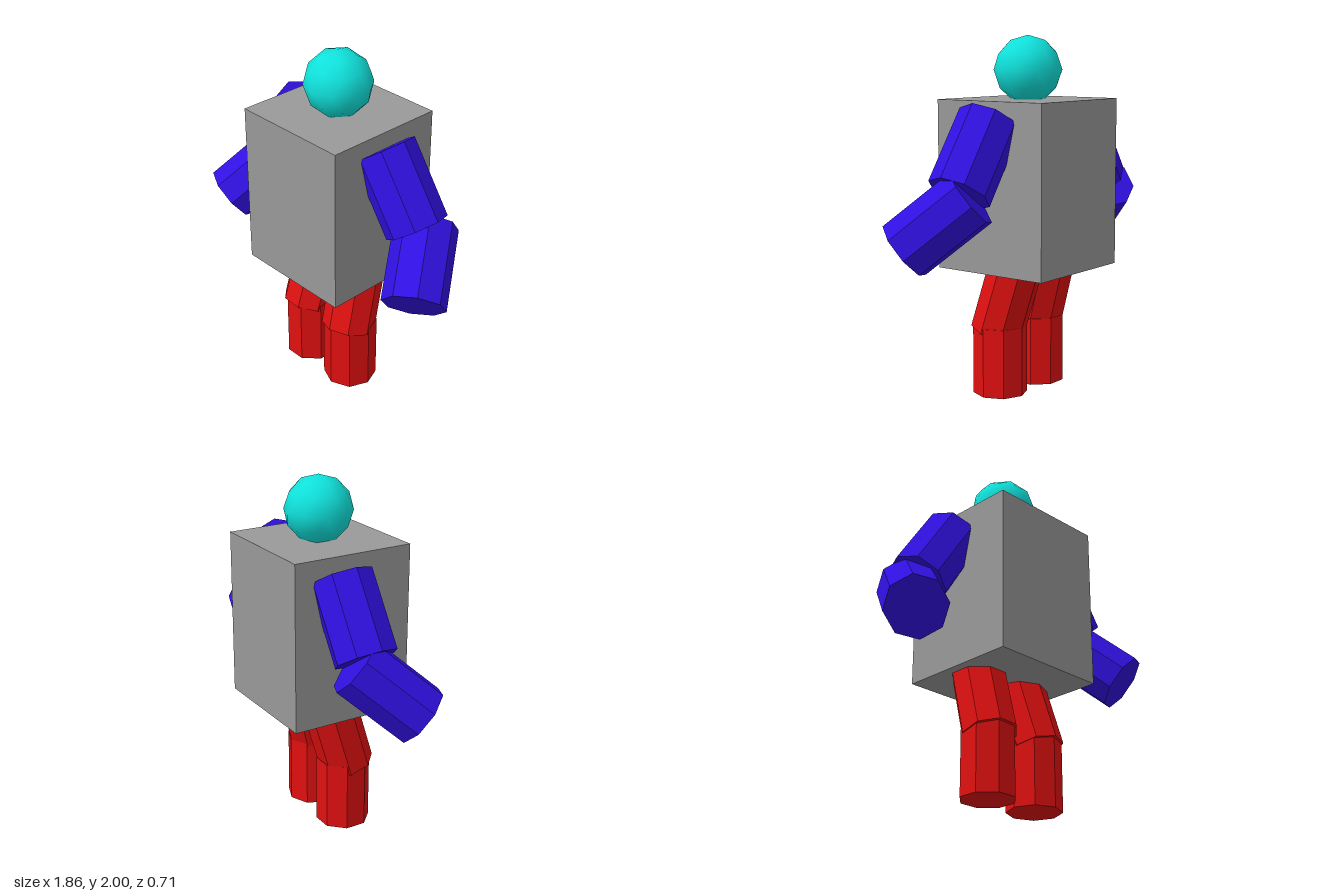
import * as THREE from 'three';

const UP = new THREE.Vector3(0, 1, 0);

export function createModel() {
  const model = new THREE.Group();
  model.name = 'blockFigure';

  const flat = (name, color) => {
    const m = new THREE.MeshStandardMaterial({ color, flatShading: true });
    m.name = name;
    return m;
  };
  const grey = flat('torsoGrey', 0x999999);
  const blue = flat('armBlue', 0x3010e0);
  const red = flat('legRed', 0xe01010);
  const teal = new THREE.MeshStandardMaterial({ color: 0x10e2dc });
  teal.name = 'headTeal';

  const add = (name, geometry, material, x, y, z) => {
    const mesh = new THREE.Mesh(geometry, material);
    mesh.name = name;
    mesh.position.set(x, y, z);
    model.add(mesh);
    return mesh;
  };

  // Eight-sided limb segment between two end centres; twist turns its corners
  const limb = (name, material, radius, from, to, twist = 0) => {
    const a = new THREE.Vector3(...from);
    const b = new THREE.Vector3(...to);
    const geometry = new THREE.CylinderGeometry(radius, radius, a.distanceTo(b), 8);
    geometry.rotateY(twist);
    const mid = a.clone().add(b).multiplyScalar(0.5);
    const mesh = add(name, geometry, material, mid.x, mid.y, mid.z);
    mesh.quaternion.setFromUnitVectors(UP, a.sub(b).normalize());
  };

  // Torso block
  add('torso', new THREE.BoxGeometry(0.705, 0.94, 0.71), grey, -0.007, 1.18, 0);

  // Head: smooth ball with one corner straight up
  const ball = new THREE.IcosahedronGeometry(0.19, 1);
  ball.rotateZ(Math.atan(2 / (1 + Math.sqrt(5))));
  add('head', ball, teal, -0.006, 1.81, 0);

  // Arms, from shoulder to elbow and elbow to hand
  const armR = 0.173;
  limb('leftUpperArm', blue, armR, [0.334, 1.547, -0.003], [0.588, 1.18, -0.003]);
  limb('leftForearm', blue, armR, [0.585, 1.165, -0.08], [0.78, 0.885, 0.21]);
  limb('rightUpperArm', blue, armR, [-0.346, 1.531, -0.07], [-0.59, 1.158, -0.07]);
  limb('rightForearm', blue, armR, [-0.59, 1.14, -0.14], [-0.775, 0.86, 0.155]);

  // Legs, from hip to knee and knee to ground
  const legR = 0.153;
  const turn = Math.PI / 8;
  limb('leftThigh', red, legR, [0.137, 0.725, -0.024], [0.165, 0.35, 0.085]);
  limb('leftShin', red, legR, [0.163, 0.39, 0.067], [0.163, 0, 0.067]);
  limb('rightThigh', red, legR, [-0.165, 0.725, -0.027], [-0.182, 0.35, 0.08], turn);
  limb('rightShin', red, legR, [-0.175, 0.39, 0.06], [-0.175, 0, 0.06], turn);

  return model;
}
